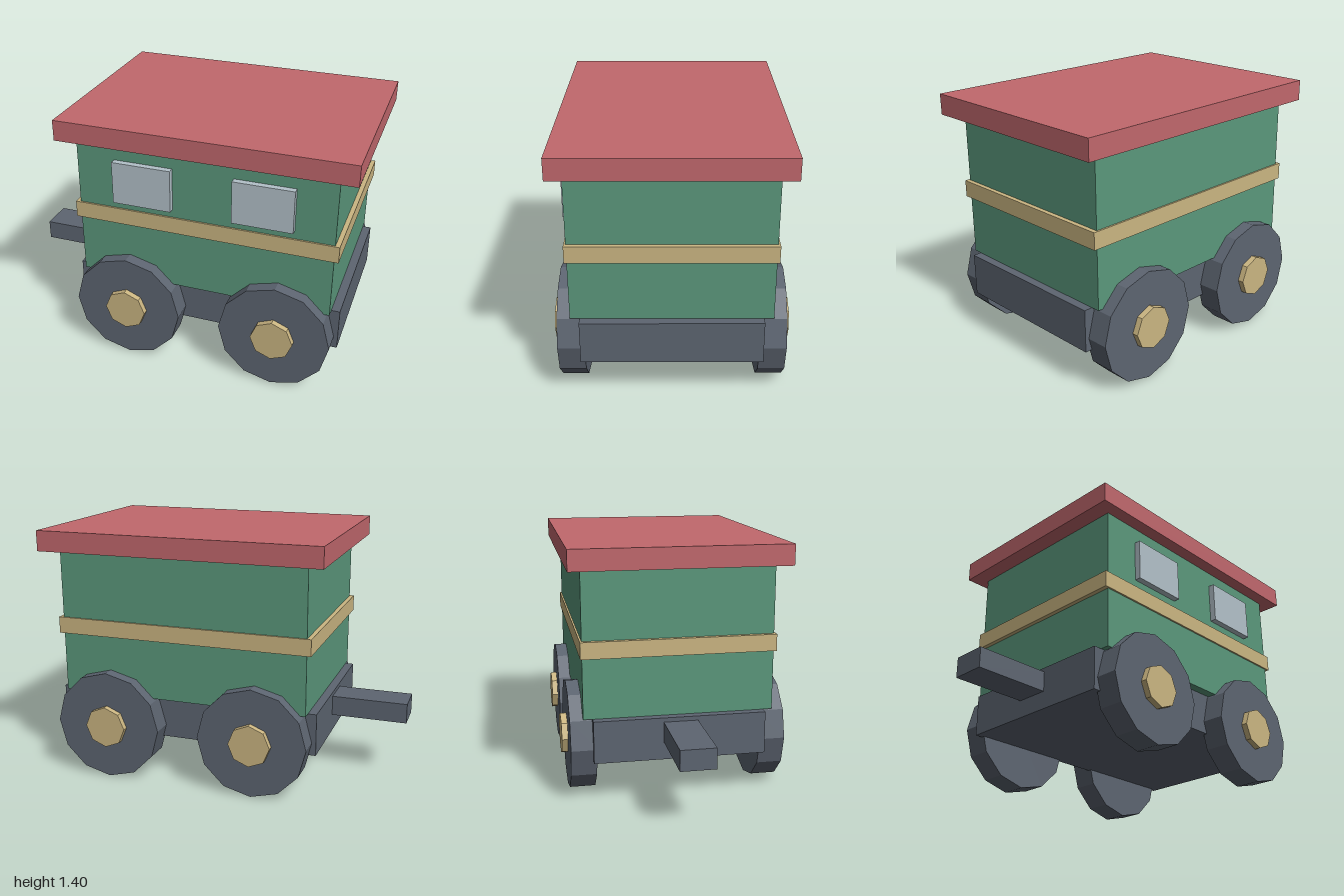
import * as THREE from 'three';

const paint = (name, color) => {
  const m = new THREE.MeshStandardMaterial({ color });
  m.name = name;
  return m;
};

export function createModel() {
  const model = new THREE.Group();
  model.name = 'toyWagon';

  const red = paint('roof red', 0xc1686d);
  const green = paint('body green', 0x5b987c);
  const tan = paint('trim tan', 0xcbb682);
  const slate = paint('slate grey', 0x5d6571);
  const glass = paint('window glass', 0xb3c1c9);

  // Box given by its limits on each axis
  const box = (name, mat, [x0, x1], [y0, y1], [z0, z1]) => {
    const mesh = new THREE.Mesh(new THREE.BoxGeometry(x1 - x0, y1 - y0, z1 - z0), mat);
    mesh.position.set((x0 + x1) / 2, (y0 + y1) / 2, (z0 + z1) / 2);
    mesh.name = name;
    model.add(mesh);
  };

  // Faceted disc with its axis along z and a corner pointing down
  const disc = (name, mat, radius, depth, sides) => {
    const round = new THREE.CylinderGeometry(radius, radius, depth, sides).rotateX(Math.PI / 2);
    const geo = round.toNonIndexed();
    geo.computeVertexNormals();
    const mesh = new THREE.Mesh(geo, mat);
    mesh.name = name;
    return mesh;
  };

  // Carriage
  box('chassis', slate, [-0.573, 0.947], [0.24, 0.477], [-0.475, 0.475]);
  box('drawbar', slate, [-1, -0.56], [0.34, 0.453], [-0.095, 0.095]);
  box('body', green, [-0.525, 0.9], [0.477, 1.29], [-0.525, 0.525]);
  box('trimBand', tan, [-0.55, 0.925], [0.815, 0.908], [-0.535, 0.535]);
  box('roof', red, [-0.62, 1], [1.29, 1.405], [-0.596, 0.596]);

  // Raised panes on the front side only
  for (const x of [-0.31, 0.357]) {
    box('window', glass, [x, x + 0.33], [0.955, 1.195], [0.52, 0.56]);
  }

  // Wheels with protruding hubs
  for (const x of [-0.24, 0.615]) {
    for (const side of [-1, 1]) {
      const wheel = new THREE.Group();
      wheel.name = 'wheel';
      const hub = disc('hub', tan, 0.118, 0.07, 8);
      hub.position.z = side * 0.07;
      wheel.add(disc('tyre', slate, 0.31, 0.142, 12), hub);
      wheel.position.set(x, 0.31, side * 0.525);
      model.add(wheel);
    }
  }

  return model;
}
